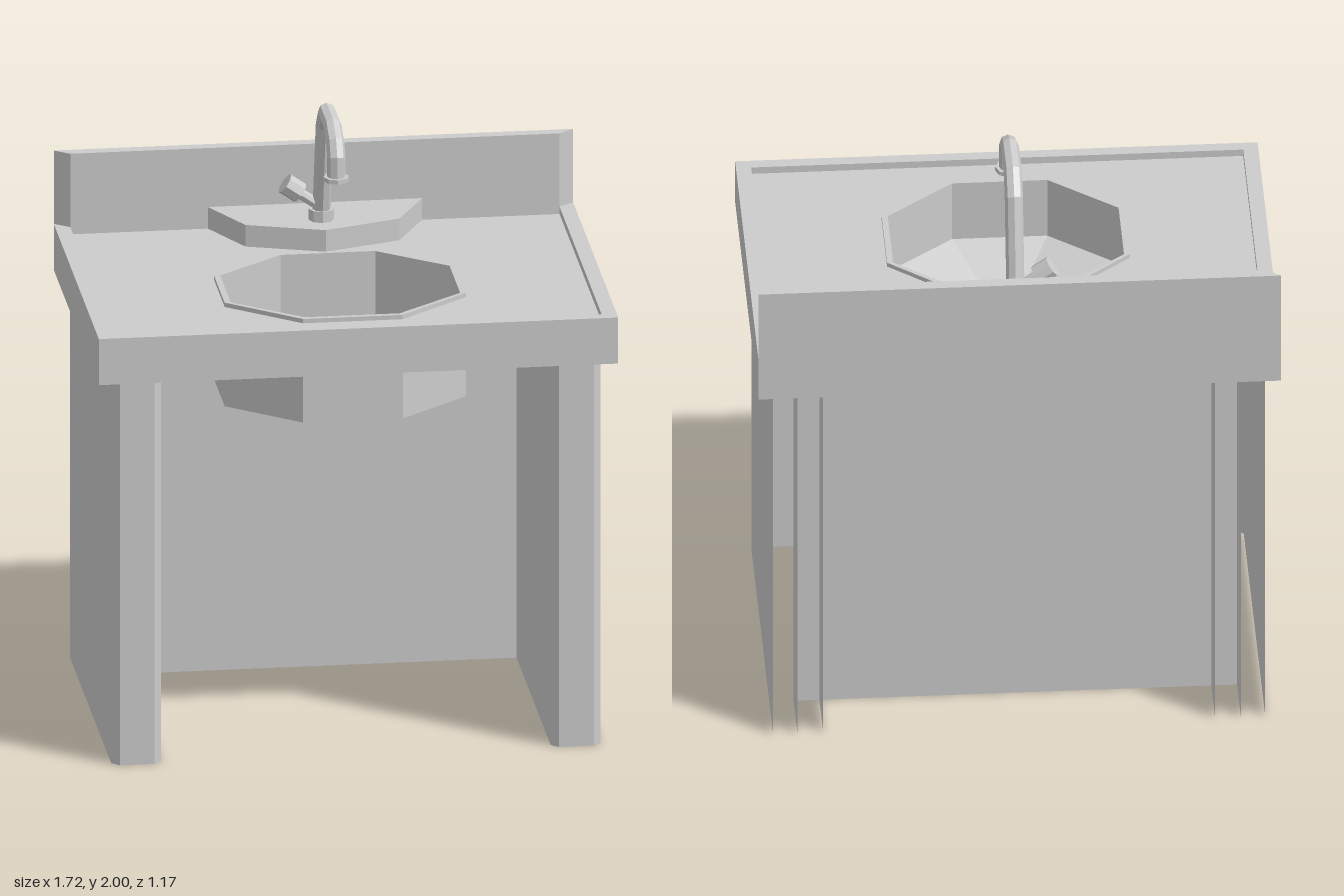
import * as THREE from 'three';

const material = new THREE.MeshStandardMaterial({ color: 0xcccccc, flatShading: true, side: THREE.DoubleSide });

// Sheet between two outlines of [x, z] points at two heights
function loft(a, ya, b, yb, closed = true) {
  const pos = [];
  const n = a.length;
  for (let i = 0; i < (closed ? n : n - 1); i++) {
    const j = (i + 1) % n;
    const p = [a[i][0], ya, a[i][1]], q = [a[j][0], ya, a[j][1]];
    const r = [b[j][0], yb, b[j][1]], s = [b[i][0], yb, b[i][1]];
    pos.push(...p, ...q, ...r, ...p, ...r, ...s);
  }
  const g = new THREE.BufferGeometry();
  g.setAttribute('position', new THREE.Float32BufferAttribute(pos, 3));
  g.computeVertexNormals();
  return g;
}
const wall = (pts, y0, y1, closed = true) => loft(pts, y0, pts, y1, closed);

// Horizontal sheet with optional holes, outlines in [x, z]
function flat(pts, y, holes = []) {
  const v = (list) => list.map(([x, z]) => new THREE.Vector2(x, -z));
  const shape = new THREE.Shape(v(pts));
  for (const h of holes) shape.holes.push(new THREE.Path(v(h)));
  return new THREE.ShapeGeometry(shape).rotateX(-Math.PI / 2).translate(0, y, 0);
}

// Path that is sampled exactly at its corner points
class CornerPath extends THREE.Curve {
  constructor(points) { super(); this.points = points; }
  index(u) { return Math.round(u * (this.points.length - 1)); }
  getPointAt(u) { return this.points[this.index(u)].clone(); }
  getTangentAt(u) {
    const p = this.points, i = this.index(u), t = new THREE.Vector3();
    if (i > 0) t.add(p[i].clone().sub(p[i - 1]).normalize());
    if (i < p.length - 1) t.add(p[i + 1].clone().sub(p[i]).normalize());
    return t.normalize();
  }
}

// Cylinder from one point to another
function rod(from, to, r0, r1) {
  const a = new THREE.Vector3(...from), d = new THREE.Vector3(...to).sub(a);
  const g = new THREE.CylinderGeometry(r1, r0, d.length(), 8).translate(0, d.length() / 2, 0);
  g.applyQuaternion(new THREE.Quaternion().setFromUnitVectors(new THREE.Vector3(0, 1, 0), d.normalize()));
  return g.translate(a.x, a.y, a.z);
}

export function createModel() {
  const model = new THREE.Group();
  function part(name, ...geometries) {
    const group = new THREE.Group();
    group.name = name;
    for (const g of geometries) group.add(new THREE.Mesh(g, material));
    model.add(group);
  }

  const bottom = 1.34, top = 1.5, recess = 1.475;
  const outer = [[-0.86, 0.585], [0.86, 0.585], [0.86, -0.585], [-0.86, -0.585]];
  const inner = [[-0.81, 0.545], [0.81, 0.545], [0.81, -0.545], [-0.81, -0.545]];
  const deck = [[0.355, -0.545], [0.255, -0.35], [0, -0.265], [-0.255, -0.35], [-0.355, -0.545]];

  // Elongated octagon of the basin
  const cz = 0.107;
  const octagon = (x, z, k) => [[k, z], [x, 0.137], [x, -0.137], [k, -z], [-k, -z], [-x, -0.137], [-x, 0.137], [-k, z]]
    .map(([px, pz]) => [px, pz + cz]);
  const basinOut = octagon(0.4, 0.333, 0.165), basinIn = octagon(0.38, 0.316, 0.157);

  // Hollow worktop with a raised edge around a sunken surface
  part('worktopSkirt', wall(outer, bottom, top));
  part('worktopEdge', flat(outer, top, [inner]), wall(inner, recess, top));
  part('worktopSurface', flat([...inner.slice(0, 3), ...deck, inner[3]], recess, [basinOut]));

  // Splashback with mitred ends
  const splash = [outer[3], outer[2], inner[2], inner[3]];
  part('splashback', wall(splash, top, 1.755), flat(splash, 1.755));

  // Basin with straight sides and a funnel floor
  const centre = basinIn.map(() => [0, cz]);
  part('basinShell', wall(basinOut, 1.13, 1.49), flat(basinOut, 1.13));
  part('basinRim', flat(basinOut, 1.49, [basinIn]));
  part('basinBowl', wall(basinIn, 1.27, 1.49), loft(basinIn, 1.27, centre, 1.14));

  // Side supports: sheets folded round the front, open at the back
  for (const s of [1, -1]) {
    const fold = [[0.81, -0.56], [0.81, 0.515], [0.785, 0.54], [0.67, 0.54], [0.645, 0.515], [0.645, -0.56]];
    part(s > 0 ? 'leftSupport' : 'rightSupport', wall(fold.map(([x, z]) => [s * x, z]), 0, bottom, false));
  }

  // Back panel with flanges folded to the rear inside the supports
  part('backPanel', wall([[-0.73, -0.56], [-0.73, -0.37], [0.73, -0.37], [0.73, -0.56]], 0, bottom, false));

  // Tap ledge
  part('tapLedge', wall(deck, recess, 1.55), flat(deck, 1.55));

  // Tap: base, bent spout, nozzle ring and lever
  part('tapBase', rod([0, 1.55, -0.378], [0, 1.588, -0.378], 0.042, 0.042));
  const path = [[1.57, -0.378], [1.7, -0.345], [1.91, -0.292], [1.972, -0.235], [1.972, -0.09],
    [1.938, -0.02], [1.895, 0.006], [1.82, 0.006]].map(([y, z]) => new THREE.Vector3(0, y, z));
  part('tapSpout', new THREE.TubeGeometry(new CornerPath(path), path.length - 1, 0.03, 8));
  part('tapNozzle', rod([0, 1.815, 0.006], [0, 1.83, 0.006], 0.042, 0.042));
  part('tapLever', rod([0, 1.595, -0.37], [-0.085, 1.655, -0.37], 0.018, 0.018),
    rod([-0.072, 1.647, -0.37], [-0.122, 1.682, -0.37], 0.036, 0.036));

  return model;
}
